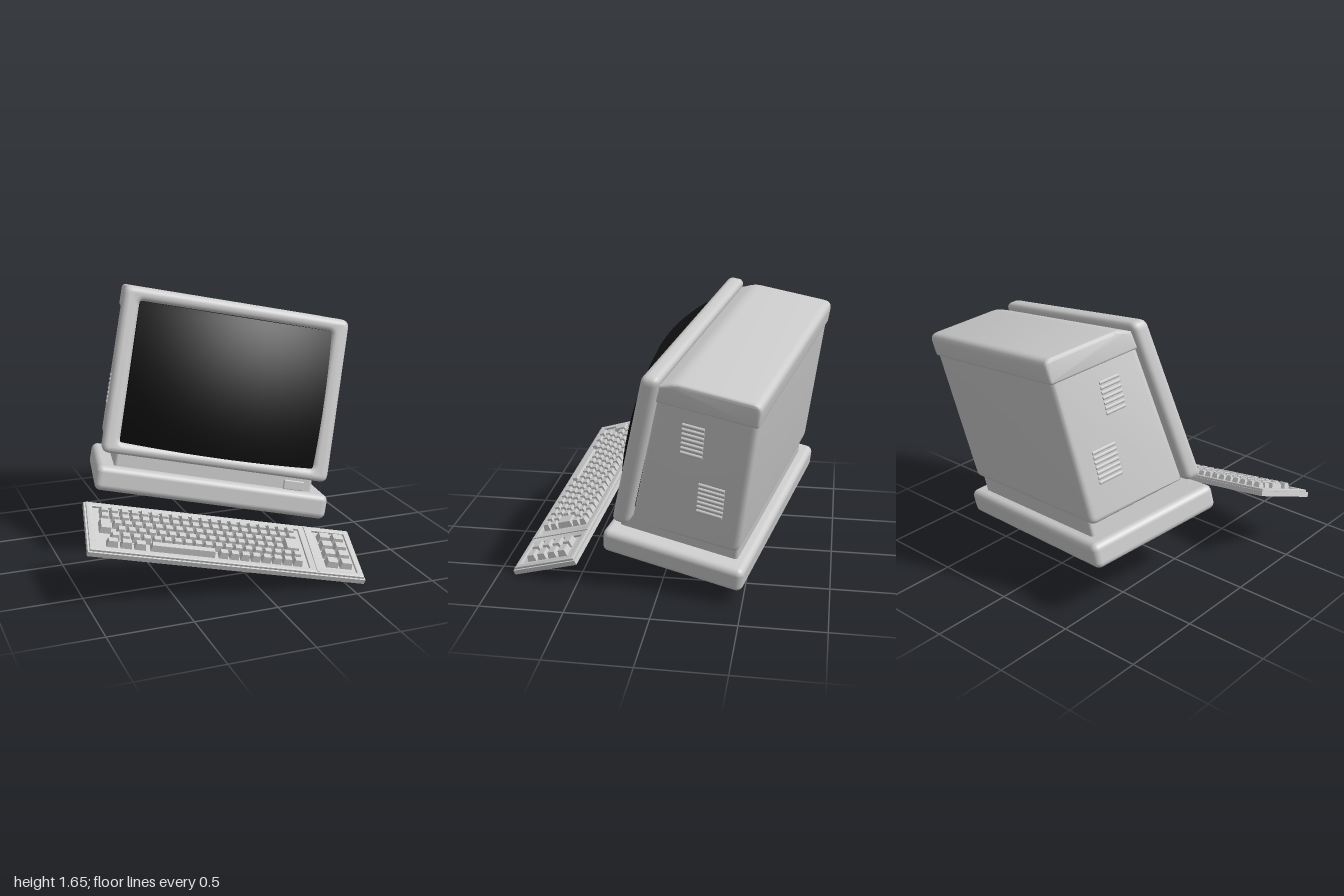
import * as THREE from 'three';
import { toCreasedNormals } from 'three/addons/utils/BufferGeometryUtils.js';
import { RoundedBoxGeometry } from 'three/addons/geometries/RoundedBoxGeometry.js';

const grey = new THREE.MeshStandardMaterial({ color: 0xcccccc });
const black = new THREE.MeshStandardMaterial({ color: 0x0b0b0b });

function add(parent, name, geometry, x = 0, y = 0, z = 0, material = grey) {
  const mesh = new THREE.Mesh(geometry, material);
  mesh.name = name;
  mesh.position.set(x, y, z);
  parent.add(mesh);
  return mesh;
}

// Outline through [x, y, cornerRadius] points
function outline(points, target = new THREE.Shape()) {
  const n = points.length;
  const toward = (a, b, r) => {
    const d = Math.hypot(b[0] - a[0], b[1] - a[1]);
    return [a[0] + (b[0] - a[0]) * r / d, a[1] + (b[1] - a[1]) * r / d];
  };
  points.forEach((p, i) => {
    const r = p[2] || 0;
    const a = toward(p, points[(i + n - 1) % n], r);
    const b = toward(p, points[(i + 1) % n], r);
    if (i === 0) target.moveTo(...a); else target.lineTo(...a);
    if (r) target.quadraticCurveTo(p[0], p[1], ...b);
  });
  target.closePath();
  return target;
}

function rect(x0, x1, y0, y1, r) {
  return [[x0, y0, r], [x1, y0, r], [x1, y1, r], [x0, y1, r]];
}

// Extrusion of total thickness t, centred on its own z, with rounded rims
function extrude(shape, t, bevel) {
  const depth = t - 2 * bevel;
  const geo = new THREE.ExtrudeGeometry(shape, {
    depth, curveSegments: 5, bevelEnabled: bevel > 0,
    bevelThickness: bevel, bevelSize: bevel, bevelOffset: -bevel, bevelSegments: 4,
  });
  geo.translate(0, 0, -depth / 2);
  return toCreasedNormals(geo, 0.6);
}

// Side profile in (z, y), swept across the width
const sweep = (points, width, bevel) =>
  extrude(outline(points), width, bevel).rotateY(-Math.PI / 2);

// Group oriented by its own right and forward directions
function oriented(name, right, forward, origin) {
  const x = new THREE.Vector3(...right).normalize();
  const y = new THREE.Vector3(...forward).cross(x).normalize();
  const z = x.clone().cross(y);
  const group = new THREE.Group();
  group.name = name;
  group.quaternion.setFromRotationMatrix(new THREE.Matrix4().makeBasis(x, y, z));
  group.position.set(...origin);
  return group;
}

function createMonitor() {
  const outer = oriented('monitor', [0.955, -0.182, 0.235], [-0.21, 0.14, 0.967], [0, 0, 0]);
  const m = new THREE.Group();
  m.name = 'monitorParts';
  m.position.x = -0.108;
  outer.add(m);

  // Stand
  add(m, 'base', new RoundedBoxGeometry(1.46, 0.155, 0.88, 4, 0.04), 0, 0.362, -0.19);
  add(m, 'neck', new RoundedBoxGeometry(1.25, 0.18, 0.74, 3, 0.02), 0, 0.48, -0.19);
  add(m, 'powerButton', new RoundedBoxGeometry(0.13, 0.06, 0.03, 2, 0.006), 0.508, 0.468, 0.18);

  // Housing and its lid, with a dip behind the bezel
  add(m, 'housing', sweep([
    [0.09, 0.525, 0.02], [-0.575, 0.525, 0.05], [-0.602, 1.43], [-0.025, 1.43],
  ], 1.365, 0.035));
  add(m, 'lid', sweep([
    [-0.018, 1.385], [-0.608, 1.385, 0.02], [-0.615, 1.532, 0.05], [-0.12, 1.532, 0.04], [-0.035, 1.492],
  ], 1.385, 0.02));

  // Bezel and bulging tube share one backward lean
  const lean = new THREE.Matrix4().set(
    1, 0, 0, 0,
    0, 1, 0, 0,
    0, -0.135, 1, 0.0716,
    0, 0, 0, 1);
  const frame = outline(rect(-0.718, 0.718, 0.512, 1.538, 0.05));
  frame.holes.push(outline(rect(-0.613, 0.613, 0.588, 1.455, 0.03), new THREE.Path()));
  add(m, 'bezel', extrude(frame, 0.105, 0.035).translate(0, 0, 0.148).applyMatrix4(lean));

  const glass = new THREE.BoxGeometry(1.226, 0.867, 0.1, 28, 20, 1);
  const p = glass.attributes.position;
  for (let i = 0; i < p.count; i++) {
    if (p.getZ(i) < 0) continue;
    const u = p.getX(i) / 0.613, v = p.getY(i) / 0.4335;
    p.setZ(i, 0.05 + 0.11 * (1 - u * u) + 0.055 * (1 - v * v));
  }
  glass.computeVertexNormals();
  glass.translate(0, 1.0215, 0.132).applyMatrix4(lean);
  add(m, 'screen', glass, 0, 0, 0, black);

  // Two louvred vents on each side
  for (const side of [-1, 1]) {
    for (const [y, z, width] of [[1.2, -0.248, 0.13], [0.84, -0.384, 0.155]]) {
      const vent = new THREE.Group();
      vent.name = side > 0 ? 'leftVent' : 'rightVent';
      vent.position.set(side * 0.682, y, z);
      m.add(vent);
      for (let i = -3; i <= 3; i++) {
        add(vent, 'louvre', new THREE.CylinderGeometry(0.011, 0.011, width, 8).rotateX(Math.PI / 2), 0, i * 0.03, 0);
      }
    }
  }
  return outer;
}

// Keycap narrowing toward its top
function keycap(w, d, h) {
  const geo = new THREE.BoxGeometry(w, h, d);
  const p = geo.attributes.position;
  for (let i = 0; i < p.count; i++) {
    if (p.getY(i) < 0) continue;
    p.setX(i, p.getX(i) - Math.sign(p.getX(i)) * 0.007);
    p.setZ(i, p.getZ(i) - Math.sign(p.getZ(i)) * 0.007);
  }
  geo.computeVertexNormals();
  return geo;
}

function createKeyboard() {
  const k = oriented('keyboard', [0.97, -0.205, 0.127], [-0.163, -0.326, 0.93], [-0.16, 0.277, 0.605]);
  add(k, 'keyboardCase', new THREE.BoxGeometry(1.66, 0.03, 0.435), 0, -0.027, 0);

  // Raised rim with wells for the main keys and the keypad
  const rim = outline(rect(-0.82, 0.82, -0.207, 0.207, 0));
  rim.holes.push(
    outline(rect(-0.785, 0.485, -0.172, 0.172, 0), new THREE.Path()),
    outline(rect(0.575, 0.785, -0.172, 0.172, 0), new THREE.Path()));
  add(k, 'keyboardRim', extrude(rim, 0.016, 0.004).rotateX(-Math.PI / 2), 0, -0.006, 0);
  add(k, 'divider', new THREE.BoxGeometry(0.012, 0.01, 0.4), 0.53, 0.003, 0);

  const key = (name, x, z, w, d) => add(k, name, keycap(w, d, 0.042), x, 0.007, z);

  // Main rows, each [start, end, number of keys]
  const rows = [[-0.75, 0.45, 20], [-0.75, 0.45, 20], [-0.68, 0.35, 17], [-0.66, 0.35, 17], [-0.7, 0.45, 19]];
  rows.forEach(([start, end, count], r) => {
    const pitch = (end - start) / count;
    for (let i = 0; i < count; i++) {
      key('key', start + (i + 0.5) * pitch, -0.132 + r * 0.053, pitch - 0.008, 0.046);
    }
  });

  // Wide keys and bottom row
  key('leftWideKey', -0.722, -0.0, 0.07, 0.09);
  key('returnKey', 0.402, 0.0, 0.085, 0.1);
  key('spaceBar', -0.28, 0.135, 0.38, 0.046);
  for (let i = 0; i < 3; i++) key('key', -0.69 + i * 0.08, 0.135, 0.066, 0.046);
  for (let i = 0; i < 8; i++) key('key', -0.04 + i * 0.065, 0.135, 0.056, 0.046);

  // Keypad
  for (let r = 0; r < 4; r++) {
    for (const x of [0.636, 0.724]) key('keypadKey', x, -0.11 + r * 0.073, 0.076, 0.058);
  }
  return k;
}

export function createModel() {
  const model = new THREE.Group();
  model.name = 'desktopComputer';
  model.add(createMonitor(), createKeyboard());
  return model;
}
